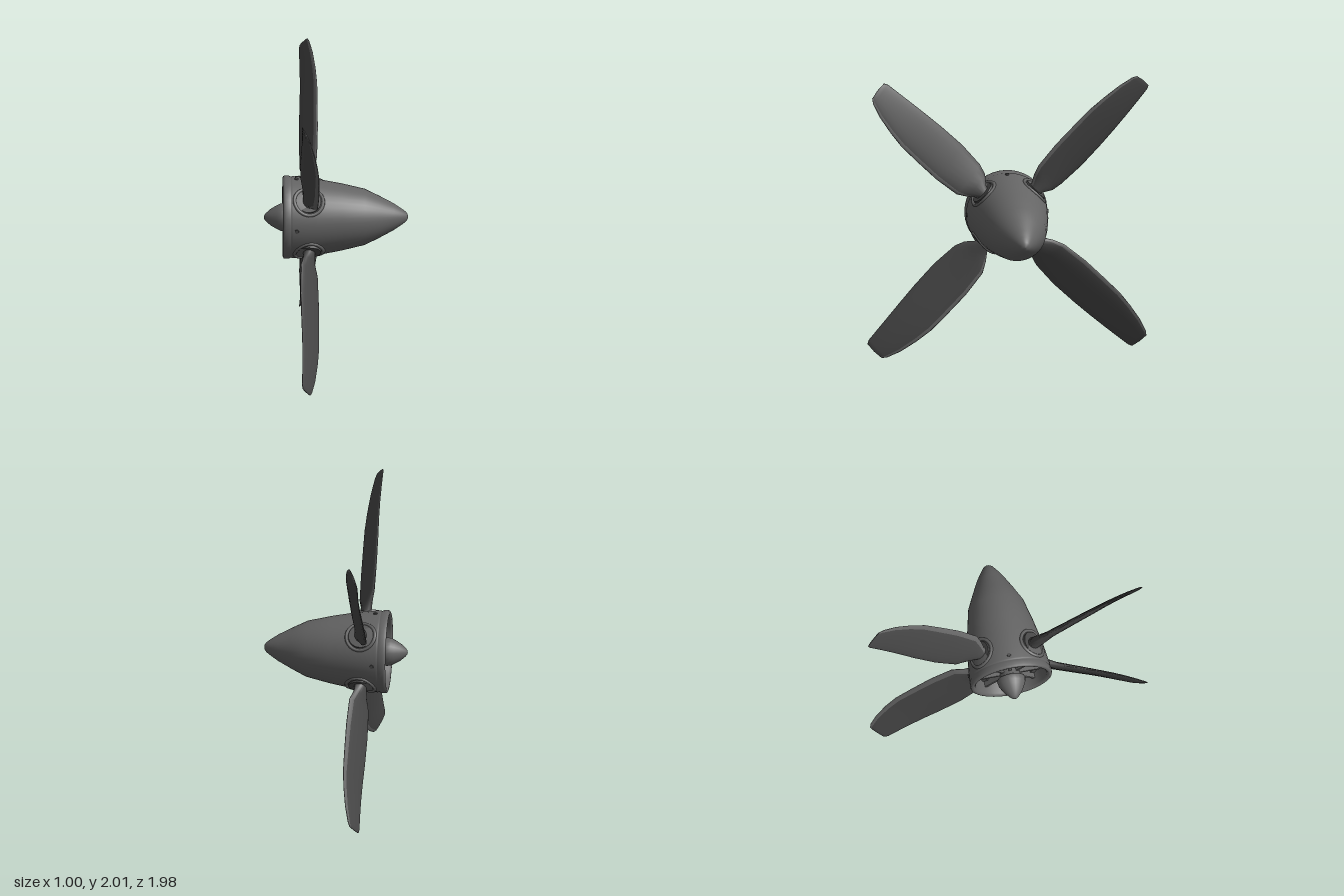
import * as THREE from 'three';

const mat = (name, color, side = THREE.FrontSide) => {
  const m = new THREE.MeshStandardMaterial({ color, side });
  m.name = name;
  return m;
};
const hullGrey = mat('hull grey', 0x646464);
const bladeGrey = mat('blade dark grey', 0x484848);
const edgeGrey = mat('leading edge grey', 0x666666);

const BLADE_X = -0.19;

function mesh(name, geometry, material) {
  const m = new THREE.Mesh(geometry, material);
  m.name = name;
  return m;
}

// Lathe around the x axis from [x, radius] pairs; repeated pairs make a sharp edge
function latheX(points, segments) {
  const g = new THREE.LatheGeometry(points.map(([x, r]) => new THREE.Vector2(r, x)), segments);
  return g.rotateZ(-Math.PI / 2);
}

// Blade pointing up +y, lofted from lens-shaped sections; leading edge towards +z
function bladeGeometry() {
  // distance from axis, trailing edge, leading edge, half thickness, x offset
  const stations = [
    [0.20, -0.050, 0.055, 0.050, 0],
    [0.28, -0.048, 0.058, 0.042, 0],
    [0.34, -0.100, 0.098, 0.034, 0],
    [0.41, -0.122, 0.130, 0.028, 0],
    [0.60, -0.136, 0.150, 0.024, 0],
    [0.80, -0.130, 0.152, 0.021, 0],
    [0.95, -0.120, 0.150, 0.018, 0],
    [1.07, -0.110, 0.134, 0.016, -0.003],
    [1.20, -0.098, 0.108, 0.014, -0.01],
    [1.30, -0.088, 0.074, 0.011, -0.018],
    [1.328, -0.076, 0.052, 0.007, -0.02],
  ];
  const N = 20, EDGE = 4, pitch = 0.42;
  const pos = [], index = [];
  stations.forEach(([d, w0, w1, t, dx], i) => {
    const slope = pitch * Math.min(1, i / 3);
    for (let k = 0; k < N; k++) {
      const a = ((k - EDGE / 2) / N) * Math.PI * 2;
      const w = (w0 + w1) / 2 + ((w1 - w0) / 2) * Math.cos(a);
      pos.push(BLADE_X + dx + slope * w + t * Math.sin(a), d, w);
    }
  });
  // columns are emitted in order so the leading edge is one group
  for (let k = 0; k < N; k++) {
    const n = (k + 1) % N;
    for (let i = 0; i < stations.length - 1; i++) {
      const a = i * N + k, b = i * N + n;
      index.push(a, b, a + N, b, b + N, a + N);
    }
  }
  // tip cap
  const last = (stations.length - 1) * N, centre = pos.length / 3;
  pos.push(BLADE_X - 0.025, 1.334, -0.01);
  for (let k = 0; k < N; k++) index.push(last + k, last + ((k + 1) % N), centre);

  const g = new THREE.BufferGeometry();
  g.setAttribute('position', new THREE.Float32BufferAttribute(pos, 3));
  g.setIndex(index);
  const split = EDGE * (stations.length - 1) * 6;
  g.addGroup(0, split, 1);
  g.addGroup(split, index.length - split, 0);
  g.computeVertexNormals();
  return g;
}

// Raised lip around a blade root, wrapped onto the curved hull
function rootRimGeometry() {
  const pts = [];
  for (let i = 0; i < 24; i++) {
    const a = (i / 24) * Math.PI * 2;
    const x = 0.1 * Math.cos(a), z = 0.1 * Math.sin(a);
    const r = 0.27 - 0.12 * x;
    pts.push(new THREE.Vector3(BLADE_X + x, Math.sqrt(r * r - z * z), z));
  }
  return new THREE.TubeGeometry(new THREE.CatmullRomCurve3(pts, true), 36, 0.012, 8, true);
}

export function createModel() {
  const root = new THREE.Group();
  root.name = 'propeller';
  const hub = new THREE.Group();
  hub.name = 'hub';
  hub.position.y = 1.003;
  root.add(hub);

  // spinner shell: recessed back plate, open rear lip, then tapering nose
  hub.add(mesh('spinner', latheX([
    [-0.24, 0], [-0.24, 0.238], [-0.24, 0.238],
    [-0.355, 0.25], [-0.368, 0.262], [-0.37, 0.275], [-0.364, 0.286],
    [-0.35, 0.289], [-0.325, 0.287], [-0.316, 0.282], [-0.31, 0.282], [-0.30, 0.285],
    [-0.22, 0.276], [-0.12, 0.263], [0.04, 0.233], [0.2, 0.195],
    [0.3, 0.146], [0.4, 0.093], [0.45, 0.06], [0.485, 0.034], [0.496, 0.018], [0.5, 0],
  ], 40), hullGrey));

  // rear cone on its shaft
  hub.add(mesh('rearCone', latheX([
    [-0.5, 0], [-0.497, 0.014], [-0.485, 0.03], [-0.45, 0.06], [-0.41, 0.083],
    [-0.385, 0.095], [-0.355, 0.1], [-0.345, 0.094], [-0.335, 0.07], [-0.23, 0.07],
  ], 24), hullGrey));

  // radial ribs inside the open rear
  for (let i = 0; i < 8; i++) {
    const rib = new THREE.BoxGeometry(0.08, 0.18, 0.018);
    rib.translate(-0.275, 0.15, 0).rotateX((i / 8) * Math.PI * 2);
    hub.add(mesh('rearRib', rib, hullGrey));
  }

  // four blades with their root fittings, and a fastener between each pair
  const blade = bladeGeometry(), rim = rootRimGeometry();
  const socket = new THREE.CylinderGeometry(0.085, 0.092, 0.07, 28).translate(BLADE_X, 0.235, 0);
  const screw = new THREE.CylinderGeometry(0.013, 0.015, 0.012, 14).translate(-0.275, 0.283, 0);
  for (let i = 0; i < 4; i++) {
    const arm = new THREE.Group();
    arm.name = 'bladeAssembly';
    arm.rotation.x = Math.PI / 4 + (i * Math.PI) / 2;
    const b = mesh('blade', blade, [bladeGrey, edgeGrey]);
    b.rotation.x = i % 2 ? 0.005 : -0.014;
    arm.add(b, mesh('bladeRootRim', rim, hullGrey), mesh('bladeSocket', socket, bladeGrey));
    const s = mesh('fastener', screw, bladeGrey);
    s.rotation.x = Math.PI / 4;
    arm.add(s);
    hub.add(arm);
  }
  return root;
}
